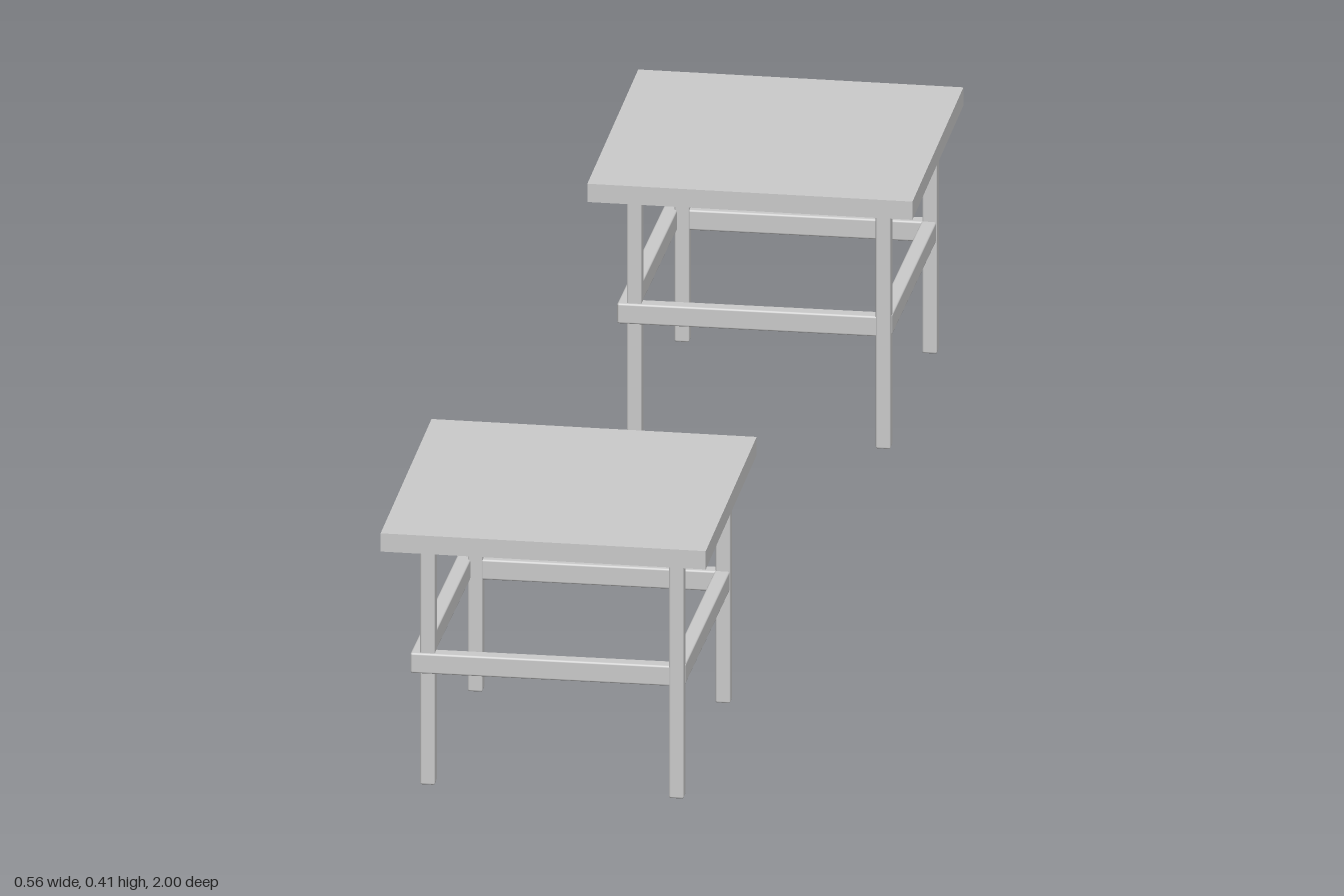
import * as THREE from 'three';
import { RoundedBoxGeometry } from 'three/addons/geometries/RoundedBoxGeometry.js';

const material = new THREE.MeshStandardMaterial({ color: 0xcccccc });
const WOOD = 0.0225; // thickness of legs and rails
const BEVEL = 0.003;

function part(name, geometry, x, y, z) {
  const mesh = new THREE.Mesh(geometry, material);
  mesh.name = name;
  mesh.position.set(x, y, z);
  return mesh;
}

// Horizontal rail between two [x, z] points
function rail(name, [x1, z1], [x2, z2]) {
  const length = Math.hypot(x2 - x1, z2 - z1);
  const geometry = new RoundedBoxGeometry(length, 0.032, WOOD, 2, BEVEL);
  const mesh = part(name, geometry, (x1 + x2) / 2, 0.194, (z1 + z2) / 2);
  mesh.rotation.y = -Math.atan2(z2 - z1, x2 - x1);
  return mesh;
}

// One square table, centred on its own x and z
function createTable(name) {
  const table = new THREE.Group();
  table.name = name;
  table.add(part('tableTop', new THREE.BoxGeometry(0.49, 0.029, 0.49), 0, 0.3925, 0));

  // Slender legs, set slightly out of square
  const legs = {
    frontRightLeg: [-0.179, 0.206],
    frontLeftLeg: [0.196, 0.206],
    backRightLeg: [-0.17, -0.195],
    backLeftLeg: [0.202, -0.204],
  };
  const legGeometry = new RoundedBoxGeometry(WOOD, 0.384, WOOD, 2, BEVEL);
  for (const [legName, [x, z]] of Object.entries(legs)) {
    table.add(part(legName, legGeometry, x, 0.192, z));
  }

  // Stretcher frame: two rails lap outside the legs, two run between them
  table.add(
    rail('frontRail', [-0.204, 0.21], [0.196, 0.205]),
    rail('rightRail', [-0.193, 0.221], [-0.188, -0.205]),
    rail('backRail', [-0.187, -0.197], [0.202, -0.202]),
    rail('leftRail', [0.197, 0.206], [0.201, -0.204]),
  );
  return table;
}

export function createModel() {
  const model = new THREE.Group();
  model.name = 'tablePair';

  // Two matching tables, offset sideways from each other
  for (const [name, side] of [['frontTable', 1], ['backTable', -1]]) {
    const table = createTable(name);
    table.position.set(-0.0375 * side, 0, 0.755 * side);
    model.add(table);
  }
  return model;
}
